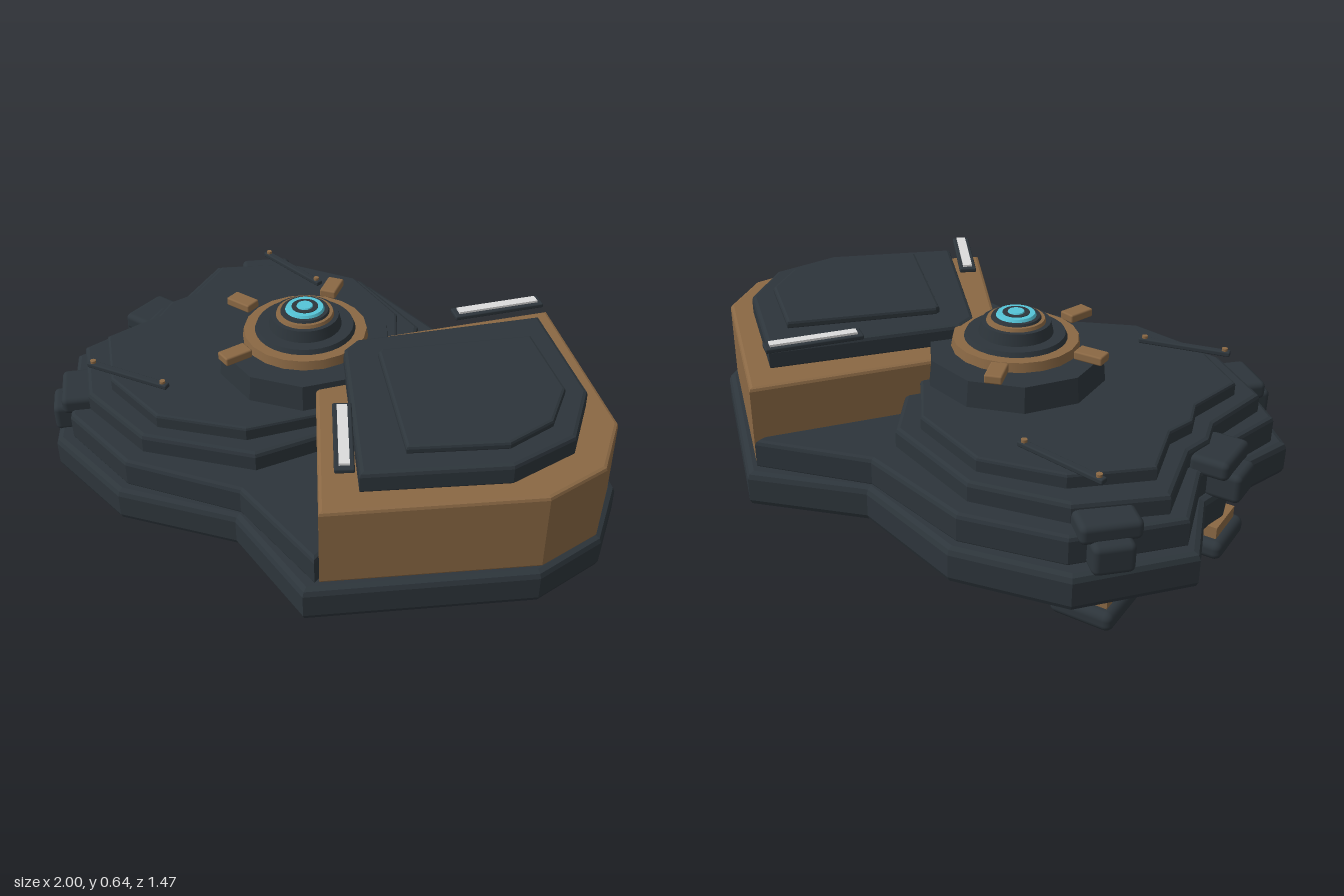
import * as THREE from 'three';
import { RoundedBoxGeometry } from 'three/addons/geometries/RoundedBoxGeometry.js';

const mat = (name, color) => {
  const m = new THREE.MeshStandardMaterial({ color });
  m.name = name;
  return m;
};

export function createModel() {
  const root = new THREE.Group();
  root.name = 'fortress';
  const dark = mat('dark slate', 0x2d353b);
  const tan = mat('bronze', 0x8a6844);
  const cyan = mat('cyan glow', 0x55c4d8);
  const white = mat('pale light', 0xdcdcdc);

  const add = (name, geo, m, parent = root) => {
    const mesh = new THREE.Mesh(geo, m);
    mesh.name = name;
    parent.add(mesh);
    return mesh;
  };

  // Bevelled slab from half an outline [x, z >= 0], mirrored across z = 0
  const slab = (name, half, y0, y1, m, bevel = 0.015) => {
    const mirrored = half.filter(p => p[1] > 0).reverse().map(([x, z]) => [x, -z]);
    const pts = [...half, ...mirrored].map(([x, z]) => new THREE.Vector2(x, z));
    const geo = new THREE.ExtrudeGeometry(new THREE.Shape(pts), {
      depth: y1 - y0 - 2 * bevel, bevelEnabled: true, bevelThickness: bevel,
      bevelSize: bevel, bevelOffset: -bevel, bevelSegments: 2,
    });
    geo.rotateX(Math.PI / 2);
    geo.translate(0, y1 - bevel, 0);
    return add(name, geo, m);
  };

  // Stepped hull
  slab('hullBase', [[1, 0], [0.925, 0.25], [0.395, 0.737], [0.02, 0.605], [-0.37, 0.737],
    [-0.74, 0.665], [-1, 0.37], [-0.905, 0.1], [-0.93, 0]], 0.09, 0.212, dark, 0.022);
  slab('hullTier', [[0.4, 0], [0.4, 0.685], [0.02, 0.575], [-0.37, 0.69],
    [-0.7, 0.62], [-0.95, 0.35], [-0.88, 0.1], [-0.9, 0]], 0.2, 0.305, dark);
  slab('middleTier', [[0.13, 0], [0.13, 0.22], [0.0, 0.47], [-0.36, 0.615],
    [-0.67, 0.555], [-0.89, 0.36], [-0.835, 0.1], [-0.86, 0]], 0.29, 0.37, dark);
  slab('upperTier', [[0.09, 0], [0.09, 0.2], [-0.07, 0.43], [-0.35, 0.55],
    [-0.62, 0.49], [-0.82, 0.31], [-0.77, 0.1], [-0.8, 0]], 0.36, 0.417, dark, 0.01);

  // Bronze bastion with stepped dark roof
  slab('bastion', [[0.98, 0], [0.91, 0.22], [0.41, 0.675], [-0.1, 0.025]], 0.205, 0.485, tan, 0.012);
  slab('bastionRoof', [[0.87, 0], [0.79, 0.23], [0.45, 0.53], [0.03, 0.04]], 0.475, 0.552, dark, 0.014);
  slab('roofPanel', [[0.79, 0], [0.74, 0.17], [0.505, 0.372], [0.15, 0.01]], 0.545, 0.577, dark, 0.01);

  // Round turret
  const turret = new THREE.Group();
  turret.name = 'turret';
  turret.position.set(-0.16, 0, 0);
  root.add(turret);
  const drum = (name, r0, r1, y0, y1, m, sides = 32) => {
    const mesh = add(name, new THREE.CylinderGeometry(r1, r0, y1 - y0, sides), m, turret);
    mesh.position.y = (y0 + y1) / 2;
    return mesh;
  };
  const plinth = drum('turretPlinth', 0.305, 0.295, 0.41, 0.505, dark, 10);
  plinth.geometry = plinth.geometry.toNonIndexed();
  plinth.geometry.computeVertexNormals();
  drum('turretCollar', 0.17, 0.17, 0.5, 0.525, dark);
  drum('bronzeRing', 0.215, 0.21, 0.515, 0.547, tan, 20);
  drum('turretStep', 0.175, 0.165, 0.54, 0.563, dark);
  drum('turretDome', 0.125, 0.115, 0.56, 0.602, dark);
  drum('capRing', 0.1, 0.095, 0.6, 0.613, tan);
  drum('capInset', 0.085, 0.08, 0.61, 0.621, dark);
  drum('lensRing', 0.07, 0.062, 0.615, 0.63, cyan);
  drum('lensGroove', 0.045, 0.045, 0.627, 0.632, dark);
  drum('lensCore', 0.03, 0.026, 0.628, 0.636, cyan);

  // Bronze tabs around the turret
  for (const deg of [108, 180, 252]) {
    const a = deg * Math.PI / 180;
    const tab = add('turretTab', new RoundedBoxGeometry(0.1, 0.03, 0.058, 2, 0.006), tan, turret);
    tab.position.set(0.28 * Math.cos(a), 0.544, 0.28 * Math.sin(a));
    tab.rotation.y = -a;
  }

  for (const s of [-1, 1]) {
    // Floating light strips above the bastion shoulders
    const strip = new THREE.Group();
    strip.name = 'lightStrip';
    strip.position.set(0.33, 0, s * 0.447);
    strip.rotation.y = -s * 0.91;
    add('stripFrame', new RoundedBoxGeometry(0.32, 0.016, 0.06, 2, 0.005), dark, strip).position.y = 0.581;
    add('stripLight', new THREE.BoxGeometry(0.285, 0.009, 0.032), white, strip).position.y = 0.592;
    root.add(strip);

    // Deck rails with bronze end bolts
    const rail = new THREE.Group();
    rail.name = 'deckRail';
    rail.position.set(-0.577, 0.428, s * 0.45);
    rail.rotation.y = s * 0.19;
    add('railBar', new RoundedBoxGeometry(0.32, 0.018, 0.026, 2, 0.005), dark, rail);
    for (const e of [-0.14, 0.14]) {
      add('railBolt', new THREE.CylinderGeometry(0.01, 0.01, 0.016, 10), tan, rail).position.set(e, 0.01, 0);
    }
    root.add(rail);
  }

  // Buttresses and feet along the left-hand end
  for (const s of [-1, 0, 1]) {
    const stack = new THREE.Group();
    stack.name = 'buttress';
    stack.position.set(s ? -0.77 : -0.91, 0, s * 0.52);
    stack.rotation.y = s * 0.8;
    const block = (name, w, d, y0, y1, x) => {
      const b = add(name, new RoundedBoxGeometry(w, y1 - y0, d, 2, 0.02), dark, stack);
      b.position.set(x, (y0 + y1) / 2, 0);
    };
    block('buttressBase', 0.14, 0.13, 0.2, 0.3, -0.015);
    block('buttressCap', 0.13, 0.19, 0.285, 0.35, 0.015);
    root.add(stack);

    const fx = s ? -0.73 : -0.865;
    add('foot', new RoundedBoxGeometry(0.205, 0.065, 0.21, 3, 0.025), dark)
      .position.set(fx, 0.0325, s * 0.493);
    add('footPost', new THREE.BoxGeometry(0.15, 0.05, 0.15), tan)
      .position.set(fx, 0.08, s * 0.493);
  }
  return root;
}
